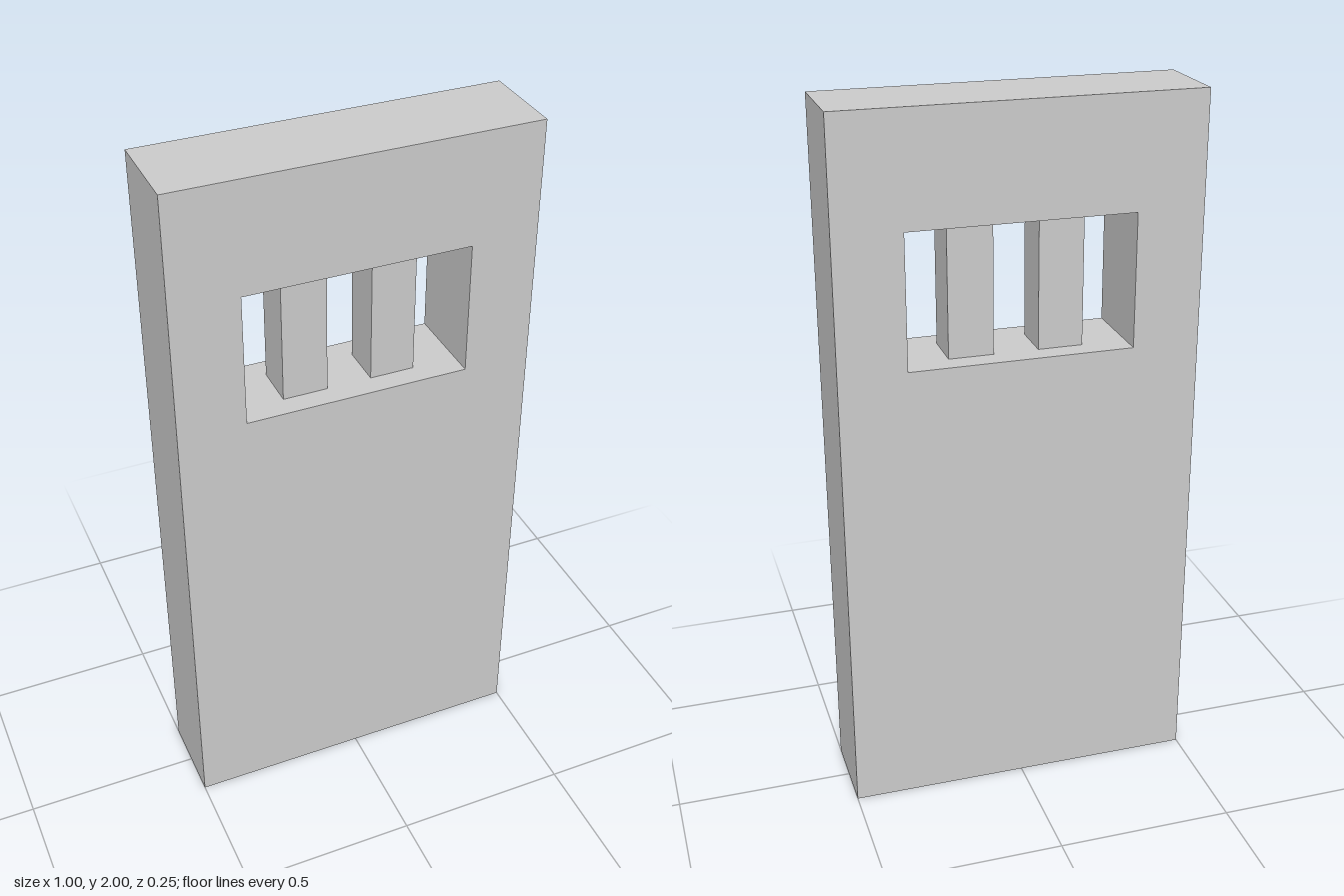
import * as THREE from 'three';

export function createModel() {
  const group = new THREE.Group();
  const material = new THREE.MeshStandardMaterial({ color: 0xcccccc, flatShading: true });

  const depth = 0.25;
  const sill = 1.3125, lintel = 1.6875, halfWindow = 0.3125;

  // Door slab with a rectangular window cut through it
  const outline = new THREE.Shape([
    new THREE.Vector2(-0.5, 0), new THREE.Vector2(0.5, 0),
    new THREE.Vector2(0.5, 2), new THREE.Vector2(-0.5, 2),
  ]);
  outline.holes.push(new THREE.Path([
    new THREE.Vector2(-halfWindow, sill), new THREE.Vector2(-halfWindow, lintel),
    new THREE.Vector2(halfWindow, lintel), new THREE.Vector2(halfWindow, sill),
  ]));
  const slabGeometry = new THREE.ExtrudeGeometry(outline, { depth, bevelEnabled: false });
  slabGeometry.translate(0, 0, -depth / 2);
  const slab = new THREE.Mesh(slabGeometry, material);
  slab.name = 'doorSlab';
  group.add(slab);

  // Two upright square bars, set midway through the window
  const barGeometry = new THREE.BoxGeometry(0.125, lintel - sill, 0.125);
  for (const side of [-1, 1]) {
    const bar = new THREE.Mesh(barGeometry, material);
    bar.name = side > 0 ? 'leftWindowBar' : 'rightWindowBar';
    bar.position.set(side * 0.125, (sill + lintel) / 2, 0);
    group.add(bar);
  }

  return group;
}
